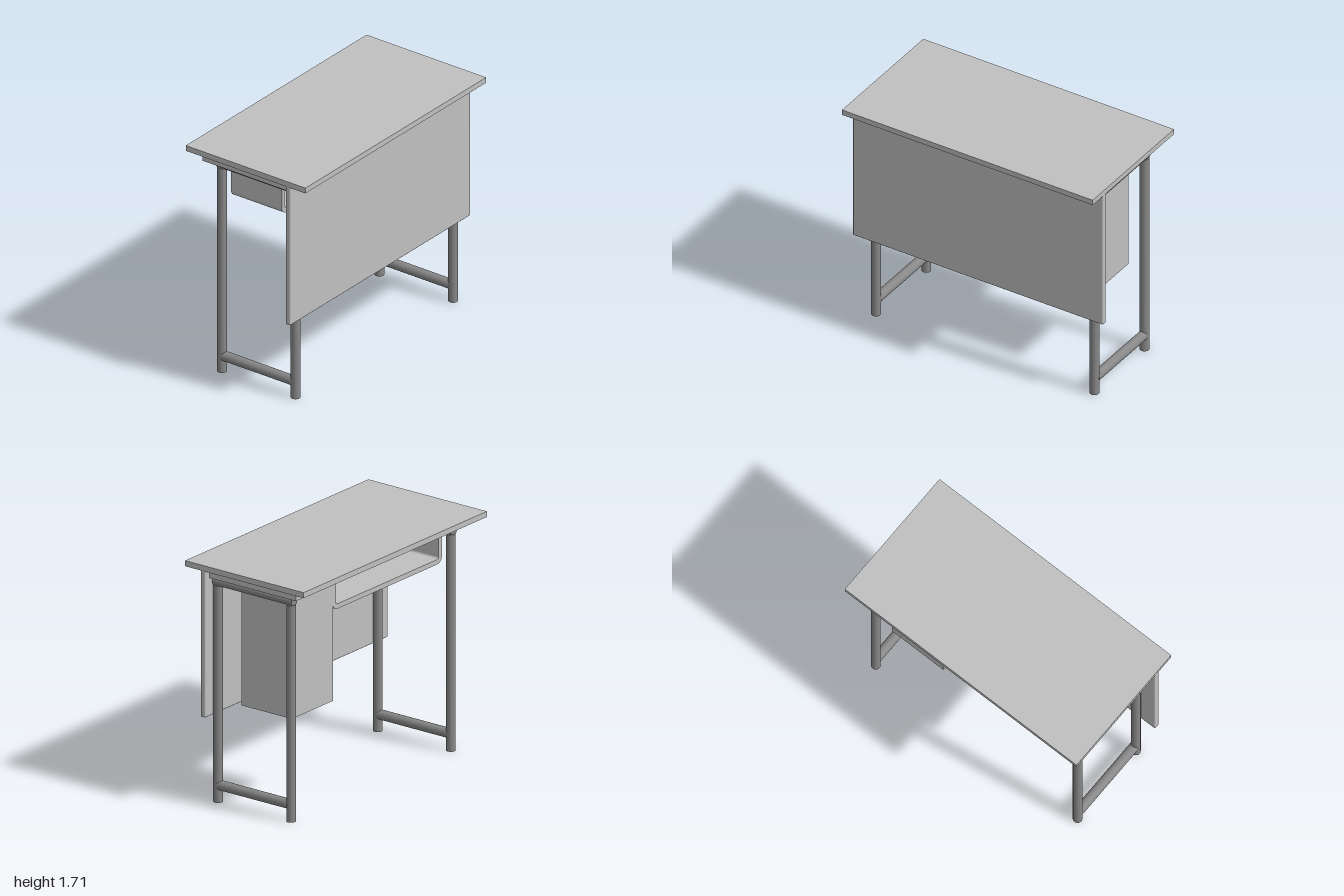
import * as THREE from 'three';
import { RoundedBoxGeometry } from 'three/addons/geometries/RoundedBoxGeometry.js';

export function createModel() {
  const desk = new THREE.Group();
  desk.name = 'desk';
  const board = new THREE.MeshStandardMaterial({ color: 0xc0c0c0 });
  board.name = 'light grey board';
  const steel = new THREE.MeshStandardMaterial({ color: 0x888888 });
  steel.name = 'dark grey steel';

  const add = (name, geometry, material, parent = desk) => {
    const mesh = new THREE.Mesh(geometry, material);
    mesh.name = name;
    parent.add(mesh);
    return mesh;
  };

  // Box given by its min and max on each axis, optionally with eased edges
  const slab = (name, [x0, x1], [y0, y1], [z0, z1], ease = 0) => {
    const size = [x1 - x0, y1 - y0, z1 - z0];
    const geometry = ease
      ? new RoundedBoxGeometry(...size, 2, ease)
      : new THREE.BoxGeometry(...size);
    add(name, geometry, board).position.set((x0 + x1) / 2, (y0 + y1) / 2, (z0 + z1) / 2);
  };

  // Boards
  slab('tableTop', [-1, 1], [1.67, 1.71], [-0.505, 0.505]);
  slab('underTop', [-0.955, 0.95], [1.61, 1.66], [-0.4, 0.335]);
  slab('frontPanel', [-0.998, 0.998], [0.622, 1.67], [0.335, 0.375], 0.008);
  slab('drawerPedestal', [0.355, 0.8], [0.69, 1.61], [-0.25, 0.18]);

  // Storage shelf: a U-shaped section with rounded lower corners, open at both ends
  const x0 = -0.835, x1 = 0.355, bottom = 1.335, top = 1.61, wall = 0.035, r = 0.05, ri = r - wall;
  const section = new THREE.Shape();
  section.moveTo(x0, top);
  section.lineTo(x0, bottom + r);
  section.absarc(x0 + r, bottom + r, r, Math.PI, 1.5 * Math.PI, false);
  section.absarc(x1 - r, bottom + r, r, -0.5 * Math.PI, 0, false);
  section.lineTo(x1, top);
  section.lineTo(x1 - wall, top);
  section.absarc(x1 - r, bottom + r, ri, 0, -0.5 * Math.PI, true);
  section.absarc(x0 + r, bottom + r, ri, 1.5 * Math.PI, Math.PI, true);
  section.lineTo(x0 + wall, top);
  section.closePath();
  const shelf = new THREE.ExtrudeGeometry(section, { depth: 0.43, bevelEnabled: false, curveSegments: 6 });
  shelf.translate(0, 0, -0.25);
  add('shelf', shelf, board);

  // Tubular leg frames, one at each end
  const tube = (name, radius, length, parent) =>
    add(name, new THREE.CylinderGeometry(radius, radius, length, 24), steel, parent);
  for (const [name, x] of [['rightLegFrame', -0.853], ['leftLegFrame', 0.889]]) {
    const frame = new THREE.Group();
    frame.name = name;
    frame.position.x = x;
    desk.add(frame);
    for (const [leg, z] of [['frontLeg', 0.31], ['backLeg', -0.312]]) {
      tube(leg, 0.033, 1.55, frame).position.set(0, 0.775, z);
    }
    const topRail = tube('topRail', 0.033, 0.675, frame);
    topRail.position.set(0, 1.577, -0.001);
    topRail.rotation.x = Math.PI / 2;
    const footRail = tube('footRail', 0.035, 0.6, frame);
    footRail.position.set(0, 0.12, 0);
    footRail.rotation.x = Math.PI / 2;
  }
  return desk;
}
